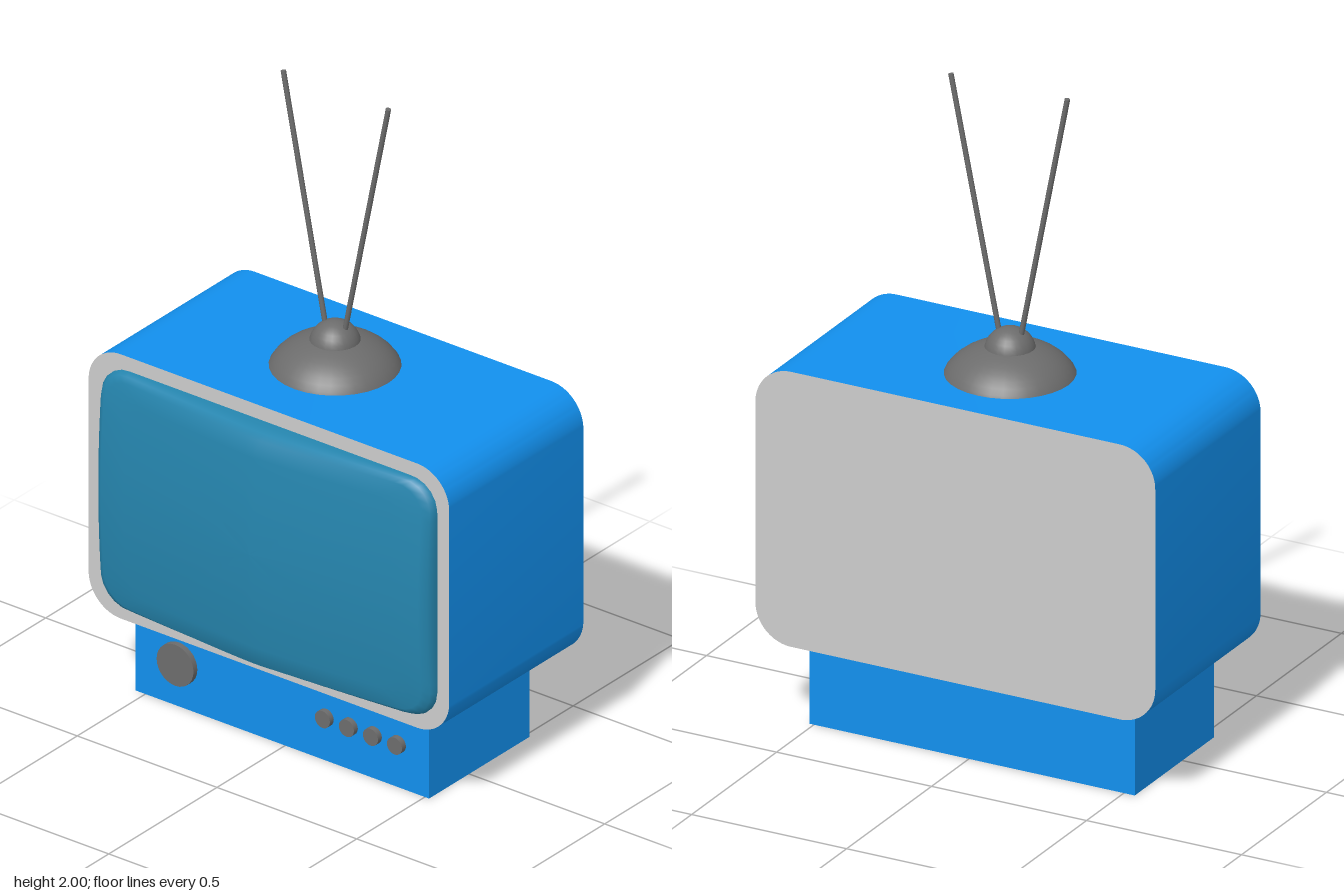
import * as THREE from 'three';
import { toCreasedNormals } from 'three/addons/utils/BufferGeometryUtils.js';

const grey = new THREE.MeshStandardMaterial({ color: 0xcccccc });
const blue = new THREE.MeshStandardMaterial({ color: 0x1290ee });
const glass = new THREE.MeshStandardMaterial({ color: 0x2585ae });
const dark = new THREE.MeshStandardMaterial({ color: 0x6c6c6c });

// Rounded rectangle centred on the origin, counter-clockwise
function roundedRect(w, h, r) {
  const x = w / 2, y = h / 2;
  const s = new THREE.Shape();
  s.moveTo(x, -y + r);
  s.lineTo(x, y - r);
  s.absarc(x - r, y - r, r, 0, Math.PI / 2);
  s.lineTo(-x + r, y);
  s.absarc(-x + r, y - r, r, Math.PI / 2, Math.PI);
  s.lineTo(-x, -y + r);
  s.absarc(-x + r, -y + r, r, Math.PI, Math.PI * 1.5);
  s.lineTo(x - r, -y);
  s.absarc(x - r, -y + r, r, Math.PI * 1.5, Math.PI * 2);
  return s;
}

// Bulging screen: concentric outlines lifted onto a shallow dome
function screenGeometry(w, h, r, depth) {
  const outline = roundedRect(w, h, r).getSpacedPoints(128).slice(0, -1);
  const n = outline.length;
  const rings = [[1, 0], [1, 0.4], [0.985, 0.75], [0.95, 1], [0.8, 1], [0.6, 1], [0.4, 1], [0.2, 1], [0, 1]];
  const pos = [], index = [];
  rings.forEach(([scale, lift], k) => {
    outline.forEach((p, i) => {
      const x = p.x * scale, y = p.y * scale;
      const u = Math.abs(x) / (w / 2), v = Math.abs(y) / (h / 2);
      pos.push(x, y, lift * (depth - 0.052 * u ** 1.3 - 0.028 * v * v));
      if (k === 0) return;
      const j = (i + 1) % n, a = (k - 1) * n, b = k * n;
      index.push(a + i, a + j, b + j);
      if (scale > 0) index.push(a + i, b + j, b + i);
    });
  });
  const g = new THREE.BufferGeometry();
  g.setAttribute('position', new THREE.Float32BufferAttribute(pos, 3));
  g.setIndex(index);
  g.computeVertexNormals();
  return g;
}

export function createModel() {
  const model = new THREE.Group();
  const add = (name, geometry, material, x, y, z) => {
    const mesh = new THREE.Mesh(geometry, material);
    mesh.name = name;
    mesh.position.set(x, y, z);
    model.add(mesh);
    return mesh;
  };

  // Cabinet: blue shell with grey front frame and back panel
  const cabinet = new THREE.ExtrudeGeometry(roundedRect(1.29, 0.85, 0.115), {
    depth: 0.62, bevelEnabled: false, curveSegments: 10,
  });
  add('cabinet', toCreasedNormals(cabinet, 0.6), [grey, blue], 0, 0.69, -0.36);

  // Screen
  add('screen', screenGeometry(1.195, 0.76, 0.09, 0.108), glass, 0.005, 0.69, 0.252);

  // Base with controls
  add('base', new THREE.BoxGeometry(1.05, 0.27, 0.465), blue, -0.01, 0.135, -0.0475);
  const control = (name, x, radius) => {
    const g = new THREE.CylinderGeometry(radius, radius, 0.03, 28).rotateX(Math.PI / 2);
    add(name, g, dark, x, 0.14, 0.188);
  };
  control('tuningKnob', -0.38, 0.066);
  for (let i = 0; i < 4; i++) control('button' + (i + 1), 0.147 + i * 0.086, 0.027);

  // Antenna stand: flattened dome with a ball on top
  const ax = -0.015, az = -0.065;
  const dome = new THREE.SphereGeometry(0.2, 32, 12, 0, Math.PI * 2, 0, Math.PI / 2).scale(1, 0.68, 1);
  add('antennaDome', dome, dark, ax, 1.07, az);
  add('antennaBall', new THREE.SphereGeometry(0.075, 24, 16), dark, ax, 1.18, az);

  // Two rods spread in a V
  const rod = (name, x0, x1) => {
    const path = new THREE.Vector3(x1 - x0, 0.8, 0);
    const mesh = add(name, new THREE.CylinderGeometry(0.008, 0.008, path.length(), 10), dark,
      (x0 + x1) / 2, 1.598, az);
    mesh.quaternion.setFromUnitVectors(new THREE.Vector3(0, 1, 0), path.normalize());
  };
  rod('rightAntenna', -0.043, -0.2);
  rod('leftAntenna', 0.013, 0.176);

  return model;
}
